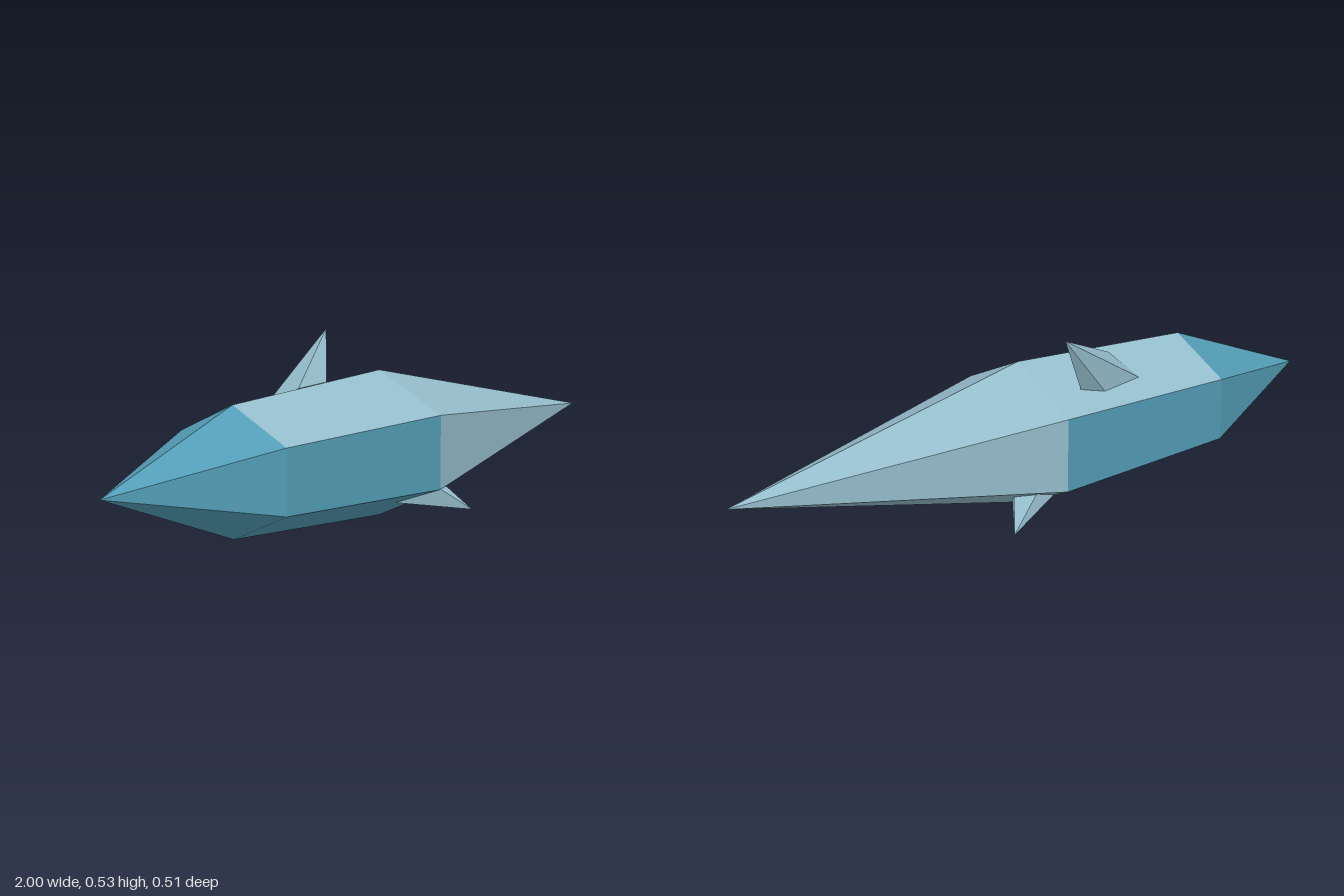
import * as THREE from 'three';
import { ConvexGeometry } from 'three/addons/geometries/ConvexGeometry.js';

const CY = 0.215, CZ = -0.026;

// Six-sided ring around the x axis, with a corner at the top
function ring(x, ry, rz) {
  return Array.from({ length: 6 }, (_, i) => {
    const a = (i * Math.PI) / 3;
    return [x, CY + ry * Math.cos(a), CZ + (rz * Math.sin(a)) / Math.sin(Math.PI / 3)];
  });
}

// Mesh from a list of outward-wound triangles
function faces(name, triangles, material) {
  const geo = new THREE.BufferGeometry();
  geo.setAttribute('position', new THREE.Float32BufferAttribute(triangles.flat(2), 3));
  geo.computeVertexNormals();
  const mesh = new THREE.Mesh(geo, material);
  mesh.name = name;
  return mesh;
}

// Pointed shard from a base ring and a tip
function shard(name, base, tip, material) {
  const points = [...base, tip].map((p) => new THREE.Vector3(...p));
  const mesh = new THREE.Mesh(new ConvexGeometry(points), material);
  mesh.name = name;
  return mesh;
}

export function createModel() {
  const pale = new THREE.MeshStandardMaterial({ color: 0x94bccb });
  pale.name = 'pale ice blue';
  const teal = new THREE.MeshStandardMaterial({ color: 0x539cb5 });
  teal.name = 'teal blue';

  const group = new THREE.Group();
  group.name = 'crystal';

  // Main crystal: short point, hexagonal shaft, long point
  const a = ring(-0.53, 0.184, 0.2);
  const b = ring(0.06, 0.213, 0.231);
  const shortTip = [-1, CY, CZ], longTip = [1, CY, CZ];
  const shortPoint = [], longPoint = [], shaftTop = [], shaftSides = [];
  for (let i = 0; i < 6; i++) {
    const j = (i + 1) % 6;
    shortPoint.push([shortTip, a[i], a[j]].reverse());
    longPoint.push([longTip, b[i], b[j]]);
    const side = i === 0 || i === 5 ? shaftTop : shaftSides;
    side.push([a[i], a[j], b[j]], [a[i], b[j], b[i]]);
  }
  // Wind every triangle away from the crystal's centre
  const centre = new THREE.Vector3(-0.1, CY, CZ);
  for (const list of [shortPoint, longPoint, shaftTop, shaftSides]) {
    for (const t of list) {
      const [p, q, r] = t.map((v) => new THREE.Vector3(...v));
      const n = q.clone().sub(p).cross(r.clone().sub(p));
      if (n.dot(p.clone().sub(centre)) < 0) t.reverse();
    }
  }
  group.add(
    faces('shortPoint', shortPoint, teal),
    faces('shaftSides', shaftSides, teal),
    faces('shaftTop', shaftTop, pale),
    faces('longPoint', longPoint, pale),
  );

  // Small five-sided shards growing out of the crystal
  group.add(
    shard('upperShard', [
      [-0.27, 0.35, -0.16], [-0.24, 0.405, -0.06], [-0.1, 0.405, -0.083],
      [-0.055, 0.36, -0.165], [-0.13, 0.34, -0.185],
    ], [0.04, 0.533, -0.215], pale),
    shard('lowerFrontShard', [
      [-0.04, 0.075, 0.12], [0.05, 0.118, 0.2], [0.1, 0.11, 0.195],
      [0.1, 0.08, 0.13], [0.03, 0.07, 0.115],
    ], [0.14, 0.046, 0.256], pale),
    shard('lowerBackShard', [
      [0.13, 0.057, -0.09], [0.17, 0.098, -0.155], [0.12, 0.112, -0.203],
      [0.055, 0.09, -0.2], [0.05, 0.06, -0.12],
    ], [0.225, 0.011, -0.23], pale),
  );
  return group;
}
